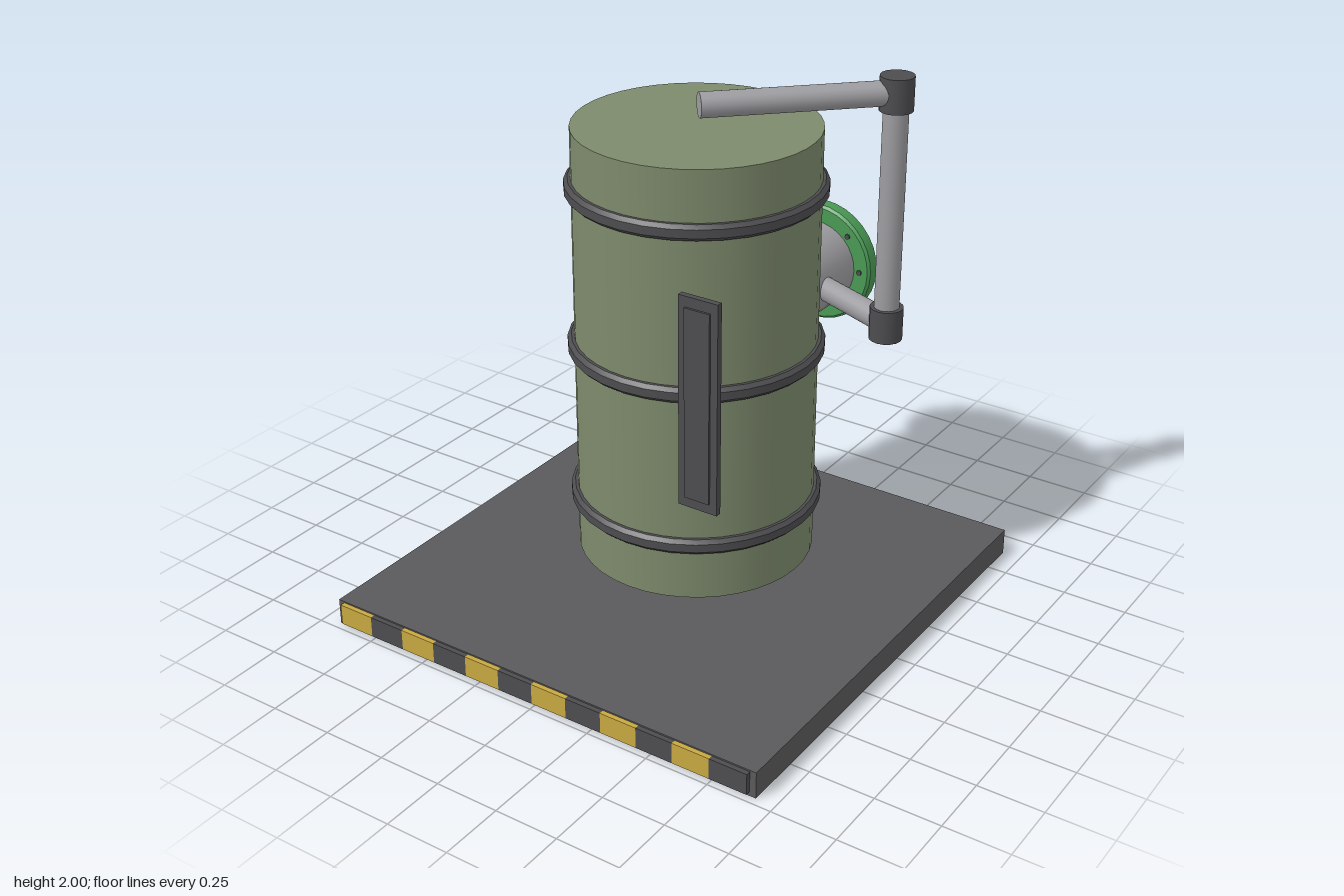
import * as THREE from 'three';
import { toCreasedNormals } from 'three/addons/utils/BufferGeometryUtils.js';

const mat = (name, color) => {
  const m = new THREE.MeshStandardMaterial({ color });
  m.name = name;
  return m;
};

export function createModel() {
  const model = new THREE.Group();
  model.name = 'drumPump';
  const olive = mat('olive', 0x7d8a6c);
  const slate = mat('slate', 0x5a5a5c);
  const charcoal = mat('charcoal', 0x4d4d50);
  const steel = mat('steel', 0x9d9da1);
  const green = mat('green', 0x4a9a55);
  const yellow = mat('yellow', 0xc8a940);

  const DRUM_Z = -0.055, RISER_X = 0.51, RISER_Z = -0.575, INLET_Y = 1.03;

  function add(name, geometry, material, x = 0, y = 0, z = 0) {
    const mesh = new THREE.Mesh(geometry, material);
    mesh.name = name;
    mesh.position.set(x, y, z);
    model.add(mesh);
    return mesh;
  }

  // Cylinder running between two points
  function pipe(name, a, b, radius, material, sides = 20) {
    const dir = b.clone().sub(a);
    const mesh = add(name, new THREE.CylinderGeometry(radius, radius, dir.length(), sides), material);
    mesh.position.copy(a).add(b).multiplyScalar(0.5);
    mesh.quaternion.setFromUnitVectors(new THREE.Vector3(0, 1, 0), dir.normalize());
    return mesh;
  }

  // Flat ring with bevelled outer edges, centred on its own axis
  function bevelRing(inner, outer, height, bevel, sides) {
    const h = height / 2;
    const profile = [
      [inner, -h], [outer - bevel, -h], [outer, -h + bevel],
      [outer, h - bevel], [outer - bevel, h], [inner, h], [inner, -h],
    ].map(([r, y]) => new THREE.Vector2(r, y));
    return toCreasedNormals(new THREE.LatheGeometry(profile, sides), 0.6);
  }

  // Base plate with hazard tiles along the front edge
  add('basePlate', new THREE.BoxGeometry(1.85, 0.105, 1.85), slate, 0, 0.0525, 0.045);
  for (let i = 0; i < 12; i++) {
    add('hazardTile', new THREE.BoxGeometry(0.15, 0.083, 0.03),
      i % 2 ? charcoal : yellow, -0.825 + i * 0.15, 0.058, 0.974);
  }

  // Drum and its three hoops
  add('drum', new THREE.CylinderGeometry(0.45, 0.45, 1.68, 40), olive, 0, 1.03, DRUM_Z);
  for (const y of [0.415, 1.032, 1.648]) {
    add('hoop', bevelRing(0.44, 0.476, 0.06, 0.014, 32), charcoal, 0, y, DRUM_Z);
  }

  // Gauge panel on the front of the drum
  add('panelFrame', new THREE.BoxGeometry(0.162, 0.82, 0.024), charcoal, 0.306, 1.03, 0.383);
  add('panelFace', new THREE.BoxGeometry(0.104, 0.74, 0.009), charcoal, 0.306, 1.03, 0.399);

  // Pipework: top arm, riser and inlet arm, with a joint at each corner
  const upper = new THREE.Vector3(RISER_X, 1.935, RISER_Z);
  const lower = new THREE.Vector3(RISER_X, INLET_Y, RISER_Z);
  pipe('topArm', upper, new THREE.Vector3(0, 1.935, -0.068), 0.047, steel);
  pipe('riser', lower, upper, 0.048, steel);
  pipe('inletArm', lower, new THREE.Vector3(0.1, INLET_Y, -0.738), 0.047, steel);
  for (const p of [upper, lower]) {
    add('joint', new THREE.CylinderGeometry(0.064, 0.064, 0.13, 16), charcoal, p.x, p.y, p.z);
  }

  // Flanged inlet at the back
  const alongZ = (mesh) => { mesh.rotation.x = Math.PI / 2; return mesh; };
  alongZ(add('inletPipe', new THREE.CylinderGeometry(0.176, 0.176, 0.41, 32), steel, 0, INLET_Y, -0.78));
  alongZ(add('flange', bevelRing(0.17, 0.246, 0.07, 0.01, 32), green, 0, INLET_Y, -0.952));
  alongZ(add('gasket', bevelRing(0.165, 0.196, 0.006, 0.001, 32), charcoal, 0, INLET_Y, -0.986));
  alongZ(add('inletCover', new THREE.CylinderGeometry(0.166, 0.166, 0.008, 32), steel, 0, INLET_Y, -0.986));
  for (let i = 0; i < 8; i++) {
    const a = (i / 8) * Math.PI * 2;
    alongZ(add('flangeBolt', new THREE.CylinderGeometry(0.011, 0.011, 0.082, 8), charcoal,
      Math.sin(a) * 0.2, INLET_Y + Math.cos(a) * 0.2, -0.952));
  }
  return model;
}
